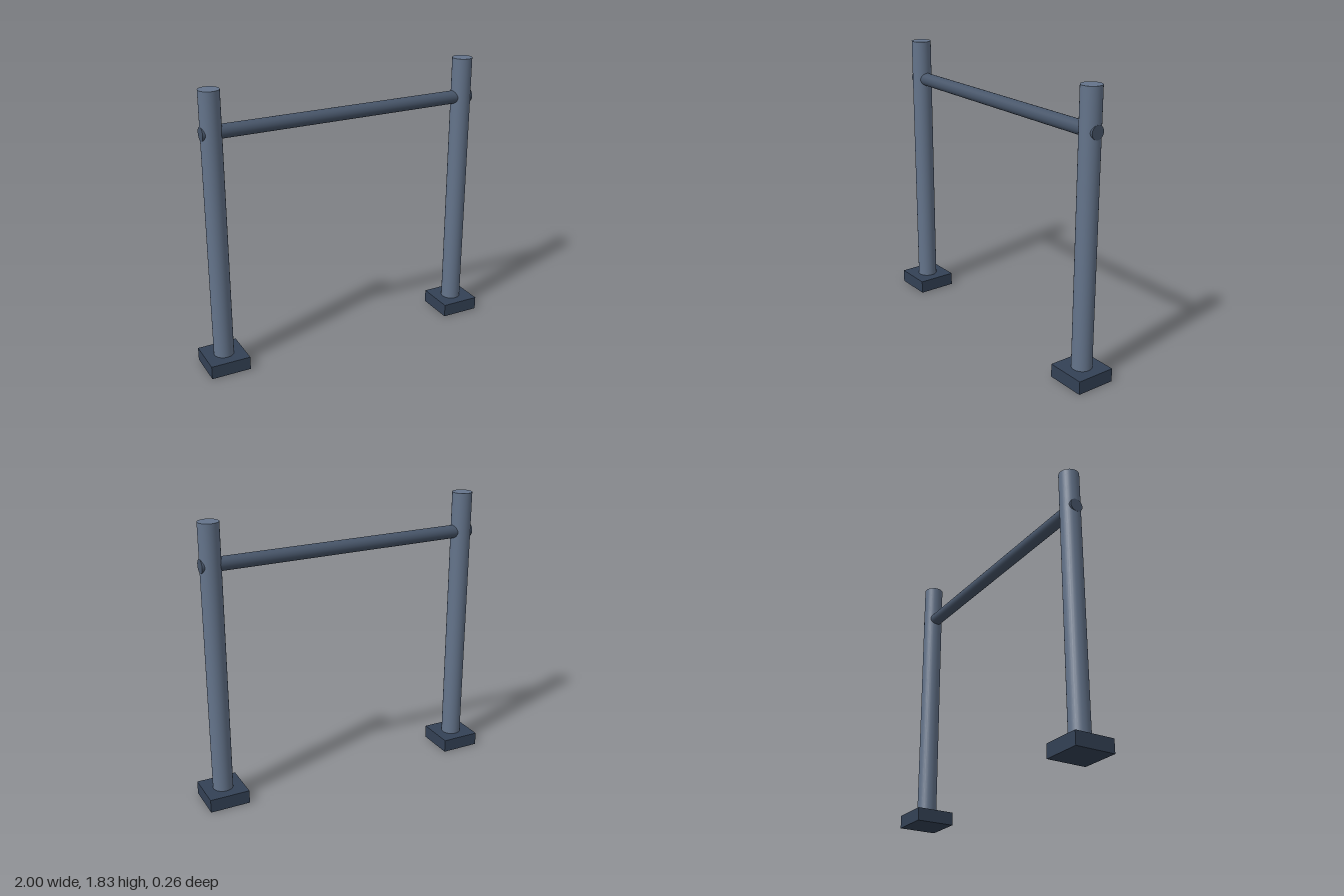
import * as THREE from 'three';

const SEGMENTS = 32;
const POST_X = 0.87, POST_RADIUS = 0.065, TOP = 1.827;
const BASE_SIZE = 0.26, BASE_HEIGHT = 0.087;
const BAR_Y = 1.567, BAR_RADIUS = 0.0435;

function addPart(parent, name, geometry, color, x, y) {
  const mesh = new THREE.Mesh(geometry, new THREE.MeshStandardMaterial({ color }));
  mesh.name = name;
  mesh.position.set(x, y, 0);
  parent.add(mesh);
  return mesh;
}

export function createModel() {
  const model = new THREE.Group();
  model.name = 'pullUpBar';

  // Square foot and round post on each side
  const postHeight = TOP - BASE_HEIGHT;
  for (const [side, sign] of [['left', 1], ['right', -1]]) {
    const support = new THREE.Group();
    support.name = `${side}Support`;
    support.position.x = sign * POST_X;
    addPart(support, `${side}Base`,
      new THREE.BoxGeometry(BASE_SIZE, BASE_HEIGHT, BASE_SIZE), 0x334155, 0, BASE_HEIGHT / 2);
    addPart(support, `${side}Post`,
      new THREE.CylinderGeometry(POST_RADIUS, POST_RADIUS, postHeight, SEGMENTS),
      0x64748b, 0, BASE_HEIGHT + postHeight / 2);
    model.add(support);
  }

  // Crossbar running through both posts, ending level with their outer sides
  const barLength = 2 * (POST_X + POST_RADIUS);
  const bar = addPart(model, 'crossbar',
    new THREE.CylinderGeometry(BAR_RADIUS, BAR_RADIUS, barLength, SEGMENTS), 0x475569, 0, BAR_Y);
  bar.rotation.z = Math.PI / 2;

  return model;
}
